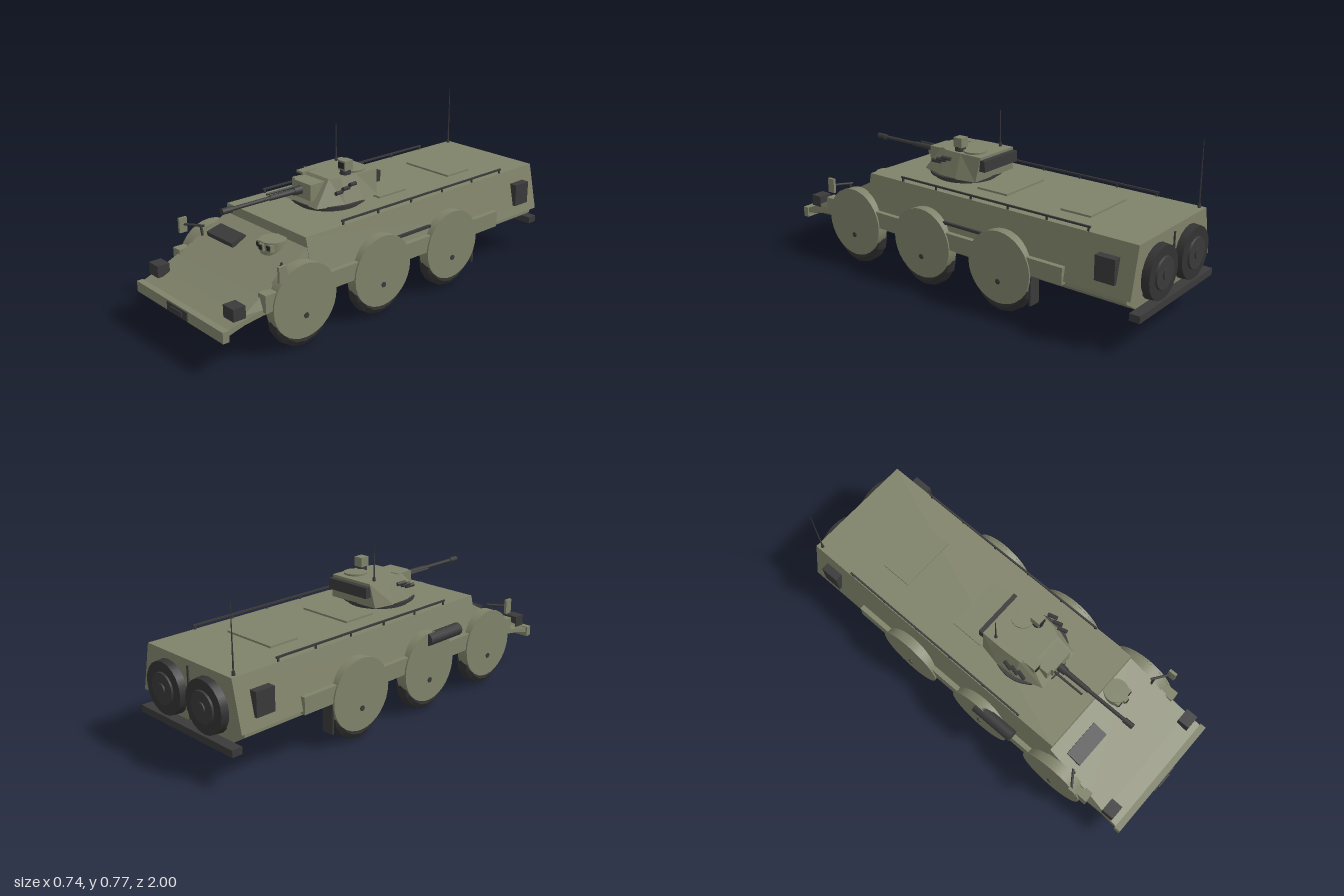
import * as THREE from 'three';

const mat = (name, color) => {
  const m = new THREE.MeshStandardMaterial({ color });
  m.name = name;
  return m;
};

export function createModel() {
  const green = mat('olive green paint', 0x80836a);
  const greenSheet = mat('olive green sheet', 0x80836a);
  greenSheet.side = THREE.DoubleSide;
  const dark = mat('dark grey metal', 0x3a3a3a);
  const rubber = mat('black rubber', 0x333333);
  const glass = mat('dark glass', 0x262626);

  const model = new THREE.Group();
  model.name = 'armouredVehicle';

  const add = (name, geo, m, x = 0, y = 0, z = 0, parent = model) => {
    const mesh = new THREE.Mesh(geo, m);
    mesh.name = name;
    mesh.position.set(x, y, z);
    parent.add(mesh);
    return mesh;
  };
  // box given by its limits
  const box = (name, m, x0, x1, y0, y1, z0, z1) =>
    add(name, new THREE.BoxGeometry(x1 - x0, y1 - y0, z1 - z0), m, (x0 + x1) / 2, (y0 + y1) / 2, (z0 + z1) / 2);
  // cylinder between two points, r0 at the start and r1 at the end
  const rod = (name, m, a, b, r0, r1 = r0, sides = 12) => {
    const p = new THREE.Vector3(...a), q = new THREE.Vector3(...b), d = q.clone().sub(p);
    const mesh = add(name, new THREE.CylinderGeometry(r1, r0, d.length(), sides), m);
    mesh.position.copy(p).add(q).multiplyScalar(0.5);
    mesh.quaternion.setFromUnitVectors(new THREE.Vector3(0, 1, 0), d.normalize());
    return mesh;
  };
  const flat = (geo) => {
    const g = geo.index ? geo.toNonIndexed() : geo;
    g.computeVertexNormals();
    return g;
  };
  // closed solid through equal-length rings of [x, y, z], wound outward
  const loft = (rings) => {
    const n = rings[0].length, tris = [];
    for (let r = 0; r + 1 < rings.length; r++) for (let i = 0; i < n; i++) {
      const j = (i + 1) % n, [p, q] = [rings[r], rings[r + 1]];
      tris.push([p[i], p[j], q[j]], [p[i], q[j], q[i]]);
    }
    const end = rings[rings.length - 1];
    for (let i = 1; i + 1 < n; i++) {
      tris.push([rings[0][0], rings[0][i + 1], rings[0][i]], [end[0], end[i], end[i + 1]]);
    }
    const V = (p) => new THREE.Vector3(...p);
    const volume = tris.reduce((s, [a, b, c]) => s + V(a).dot(V(b).cross(V(c))), 0);
    const pos = tris.flatMap(([a, b, c]) => (volume < 0 ? [...a, ...c, ...b] : [...a, ...b, ...c]));
    const g = new THREE.BufferGeometry();
    g.setAttribute('position', new THREE.Float32BufferAttribute(pos, 3));
    g.computeVertexNormals();
    return g;
  };
  // mirrored hull section at z, from [x, y] points of the left half
  const section = (z, half) => [
    ...half.map(([x, y]) => [x, y, z]),
    ...half.slice().reverse().map(([x, y]) => [-x, y, z]),
  ];

  // hull
  const upper = [[0.33, 0.24], [0.28, 0.465]];
  add('upperHull', loft([section(-0.95, upper), section(0.53, upper)]), green);
  const tub = [[0.09, 0.115], [0.2, 0.145], [0.315, 0.217], [0.315, 0.245]];
  add('lowerHull', loft([section(-0.925, tub), section(0.53, tub)]), green);
  add('bow', loft([
    section(0.53, [[0.09, 0.115], [0.2, 0.145], [0.32, 0.22], [0.325, 0.24], [0.288, 0.42]]),
    section(0.79, [[0.09, 0.115], [0.2, 0.145], [0.32, 0.21], [0.32, 0.235], [0.302, 0.283]]),
    section(0.88, [[0.09, 0.143], [0.2, 0.155], [0.315, 0.195], [0.315, 0.215], [0.312, 0.237]]),
    section(0.965, [[0.09, 0.168], [0.2, 0.17], [0.318, 0.175], [0.318, 0.188], [0.318, 0.2]]),
  ]), green);
  box('frontBumper', green, -0.325, 0.325, 0.155, 0.205, 0.96, 0.99);
  box('bumperPlate', dark, -0.075, 0.075, 0.16, 0.2, 0.985, 0.995);
  box('bumperInset', dark, -0.04, 0.04, 0.17, 0.19, 0.99, 1.0);
  box('rearBumper', dark, -0.31, 0.31, 0.15, 0.182, -0.985, -0.935);
  box('rearDoorSeam', dark, -0.004, 0.004, 0.2, 0.44, -0.956, -0.945);

  // roof hatches
  box('rearRoofHatch', green, -0.14, 0.142, 0.46, 0.474, -0.635, -0.48);
  box('middleRoofHatch', green, -0.14, 0.142, 0.46, 0.474, -0.19, -0.02);

  // wheels, covers and side fittings
  const tyreProfile = [[0.075, -0.035], [0.125, -0.04], [0.147, -0.026], [0.152, 0], [0.147, 0.026],
    [0.125, 0.04], [0.075, 0.035], [0.075, -0.035]].map(([r, h]) => new THREE.Vector2(r, h));
  const tyreGeo = flat(new THREE.LatheGeometry(tyreProfile, 16));
  tyreGeo.rotateZ(-Math.PI / 2);
  for (const s of [1, -1]) {
    const side = s > 0 ? 'left' : 'right';
    const sideBox = (name, m, x0, x1, ...rest) =>
      box(side + name, m, Math.min(s * x0, s * x1), Math.max(s * x0, s * x1), ...rest);
    for (const z of [0.59, 0.147, -0.303]) {
      add(side + 'Tyre', tyreGeo, rubber, s * 0.3, 0.157, z);
      rod(side + 'WheelCover', green, [s * 0.338, 0.22, z], [s * 0.347, 0.22, z], 0.167, 0.167, 32);
      rod(side + 'Hub', dark, [s * 0.34, 0.155, z], [s * 0.352, 0.155, z], 0.013, 0.013, 6);
      // arch sheet over the tyre
      const arch = new THREE.CylinderGeometry(0.165, 0.165, 0.05, 24, 1, true, -0.5, Math.PI + 1);
      arch.rotateX(-Math.PI / 2).rotateZ(0).rotateY(Math.PI / 2);
      arch.computeBoundingBox();
      const { min, max } = arch.boundingBox;
      if (min.y + max.y < 0) arch.rotateX(Math.PI);
      else if (Math.abs(min.z + max.z) > 0.01) arch.rotateX(min.z + max.z > 0 ? -Math.PI / 2 : Math.PI / 2);
      add(side + 'WheelArch', arch, greenSheet, s * 0.315, 0.22, z);
    }
    sideBox('Sponson', green, 0.29, 0.34, 0.225, 0.303, -0.63, 0.79);
    sideBox('MudFlap', dark, 0.275, 0.335, 0.08, 0.23, -0.47, -0.46);
    sideBox('RearLampBox', dark, 0.29, 0.333, 0.29, 0.4, -0.875, -0.78);
    sideBox('Headlight', dark, 0.245, 0.315, 0.225, 0.28, 0.87, 0.93);

    // roof rail on short posts
    sideBox('RoofRail', dark, 0.271, 0.279, 0.48, 0.488, -0.72, 0.33);
    for (let i = 0; i < 6; i++) {
      const z = -0.71 + i * 0.206;
      sideBox('RailPost', dark, 0.272, 0.278, 0.46, 0.482, z - 0.004, z + 0.004);
    }

    // mirror on a bent arm
    rod(side + 'MirrorStrut', dark, [s * 0.275, 0.32, 0.67], [s * 0.292, 0.39, 0.67], 0.006);
    rod(side + 'MirrorArm', dark, [s * 0.28, 0.387, 0.66], [s * 0.36, 0.387, 0.715], 0.006);
    sideBox('Mirror', green, 0.356, 0.369, 0.35, 0.42, 0.7, 0.74);

    // spare wheel on the rear plate
    rod(side + 'SpareTyre', rubber, [s * 0.135, 0.31, -0.945], [s * 0.135, 0.31, -0.985], 0.122, 0.118, 20);
    rod(side + 'SpareRim', dark, [s * 0.135, 0.31, -0.98], [s * 0.135, 0.31, -0.993], 0.075, 0.07, 20);
    rod(side + 'SpareHub', dark, [s * 0.135, 0.31, -0.99], [s * 0.135, 0.31, -1.0], 0.025, 0.025, 12);

    // smoke launchers
    for (let i = 0; i < 3; i++) {
      const y = 0.55 + i * 0.014, z = 0.225 - i * 0.035, x = 0.137 + i * 0.006;
      rod(side + 'SmokeLauncher', dark, [s * x, y, z - 0.02], [s * (x + 0.012), y + 0.004, z + 0.025], 0.009);
    }
  }
  rod('exhaustMuffler', dark, [-0.342, 0.355, 0.13], [-0.342, 0.355, 0.35], 0.03, 0.03, 12);
  box('sideTool', dark, 0.3, 0.32, 0.332, 0.344, -0.18, 0.04);

  // glacis fittings
  const grille = box('engineGrille', dark, -0.245, -0.055, 0.362, 0.384, 0.59, 0.67);
  grille.rotation.x = 0.25;
  rod('driverHatch', green, [0.12, 0.37, 0.578], [0.12, 0.426, 0.578], 0.058, 0.058, 20);
  for (const x of [0.085, 0.12, 0.155]) {
    const z = 0.648 - Math.abs(x - 0.12) * 0.4;
    box('periscopeBody', green, x - 0.014, x + 0.014, 0.388, 0.42, z - 0.04, z - 0.004);
    box('periscopeGlass', glass, x - 0.01, x + 0.01, 0.395, 0.414, z - 0.006, z);
  }

  // turret
  rod('turretRing', dark, [0, 0.46, 0.165], [0, 0.486, 0.165], 0.15, 0.15, 28);
  rod('turretCollar', dark, [0, 0.482, 0.165], [0, 0.493, 0.165], 0.173, 0.173, 28);
  const level = (y, half) => [
    ...half.map(([x, z]) => [x, y, z]),
    ...half.slice().reverse().map(([x, z]) => [-x, y, z]),
  ];
  add('turretBody', loft([
    level(0.49, [[0.14, -0.005], [0.16, 0.1], [0.155, 0.2], [0.11, 0.33]]),
    level(0.605, [[0.12, -0.02], [0.12, 0.1], [0.115, 0.19], [0.09, 0.24]]),
  ]), green);
  box('turretBin', dark, -0.12, 0.12, 0.54, 0.592, -0.045, 0);
  box('mantletBase', green, -0.072, 0.05, 0.52, 0.592, 0.22, 0.318);
  box('mantlet', green, -0.045, 0.072, 0.517, 0.592, 0.22, 0.33);
  rod('gunCollar', dark, [0, 0.555, 0.32], [0, 0.555, 0.37], 0.021, 0.018, 16);
  rod('gunSleeve', dark, [0, 0.555, 0.36], [0, 0.555, 0.5], 0.014, 0.012);
  rod('gunBarrel', dark, [0, 0.555, 0.49], [0, 0.555, 0.71], 0.009);
  rod('muzzleBrake', dark, [0, 0.555, 0.7], [0, 0.555, 0.75], 0.014);
  rod('coaxialGun', dark, [-0.035, 0.56, 0.32], [-0.035, 0.56, 0.49], 0.006, 0.005, 8);

  // sights and turret hatch
  box('gunnerSight', green, -0.102, -0.058, 0.562, 0.608, 0.19, 0.268);
  box('gunnerSightGlass', glass, -0.096, -0.066, 0.57, 0.598, 0.266, 0.272);
  rod('turretHatch', green, [0.055, 0.6, 0.065], [0.055, 0.614, 0.065], 0.055, 0.055, 20);
  rod('commanderSightBase', dark, [0.08, 0.6, 0.133], [0.08, 0.627, 0.133], 0.027, 0.025, 12);
  box('commanderSight', green, 0.056, 0.103, 0.624, 0.67, 0.108, 0.156);
  box('commanderSightGlass', glass, 0.062, 0.097, 0.634, 0.662, 0.153, 0.16);

  // antennas
  for (const [x, y, z, top] of [[-0.095, 0.6, 0.035, 0.78], [-0.262, 0.46, -0.925, 0.77]]) {
    rod('antennaBase', dark, [x, y, z], [x, y + 0.022, z], 0.009, 0.006, 8);
    rod('antenna', dark, [x, y + 0.02, z], [x, top, z], 0.004, 0.0015, 6);
  }
  return model;
}
